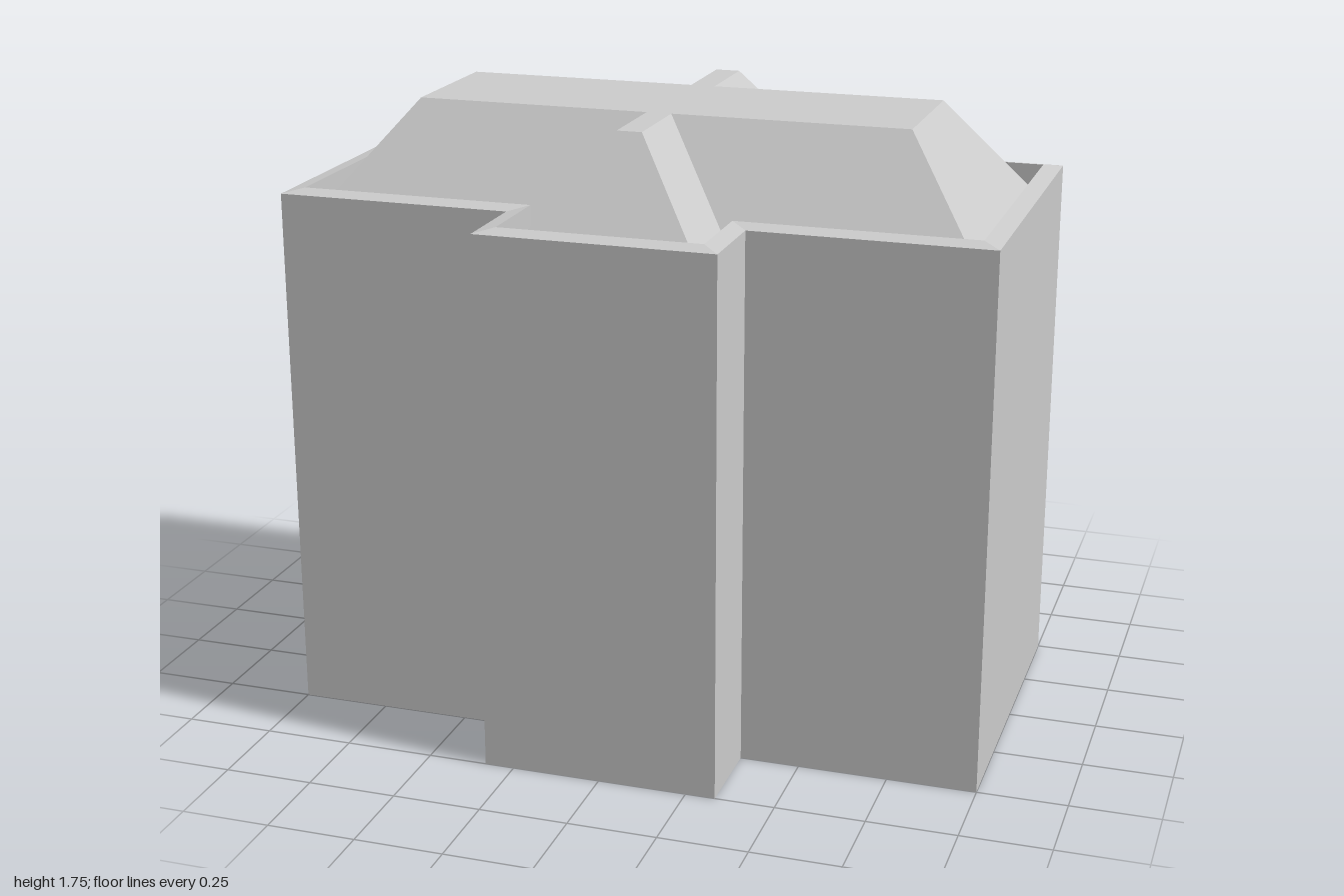
import * as THREE from 'three';

const material = new THREE.MeshStandardMaterial({ color: 0xcccccc, flatShading: true, side: THREE.DoubleSide });

// Cross-shaped plan moved inward by d, counter-clockwise from above (plan y = -z)
function plan(d) {
  const x = 1 - d, z = 0.5 - d;            // main block
  const a = 0.333 - d, w = 0.75 - d;       // front and back bays
  return [
    [x, -z], [x, z], [a, z], [a, w], [-a, w], [-a, z],
    [-x, z], [-x, -z], [-a, -z], [-a, -w], [a, -w], [a, -z],
  ];
}

// Band of quads between two inset outlines at two heights
function band(name, [d0, y0], [d1, y1]) {
  const lower = plan(d0).map(([x, y]) => [x, y0, -y]);
  const upper = plan(d1).map(([x, y]) => [x, y1, -y]);
  const positions = [];
  lower.forEach((p, i) => {
    const j = (i + 1) % lower.length;
    positions.push(...p, ...lower[j], ...upper[j], ...p, ...upper[j], ...upper[i]);
  });
  const geometry = new THREE.BufferGeometry();
  geometry.setAttribute('position', new THREE.Float32BufferAttribute(positions, 3));
  geometry.computeVertexNormals();
  const mesh = new THREE.Mesh(geometry, material);
  mesh.name = name;
  return mesh;
}

export function createModel() {
  const group = new THREE.Group();
  group.name = 'building';

  // Outer walls, open underneath
  group.add(band('walls', [0, 0], [0, 1.52]));

  // Parapet: slightly sloped rim and the inner face down to the eaves
  group.add(band('parapetRim', [0, 1.52], [0.05, 1.53]));
  group.add(band('parapetInside', [0.05, 1.53], [0.05, 1.43]));

  // Hipped roof slopes and the flat roof deck
  group.add(band('roofSlopes', [0.05, 1.43], [0.298, 1.75]));
  const shape = new THREE.Shape(plan(0.298).map(([x, y]) => new THREE.Vector2(x, y)));
  const deck = new THREE.Mesh(new THREE.ShapeGeometry(shape).rotateX(-Math.PI / 2), material);
  deck.name = 'roofDeck';
  deck.position.y = 1.75;
  group.add(deck);

  return group;
}
